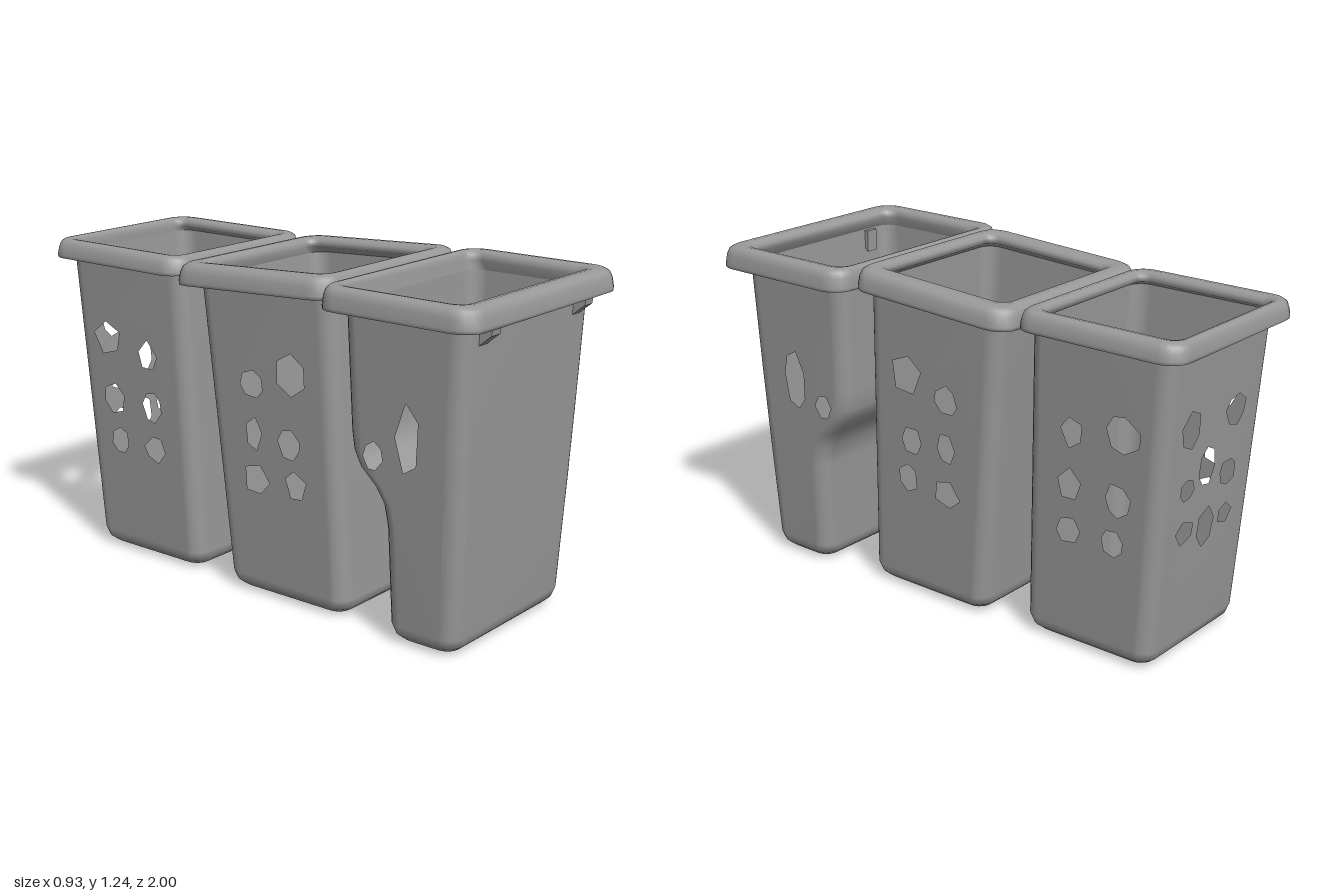
import * as THREE from 'three';
import { mergeVertices } from 'three/addons/utils/BufferGeometryUtils.js';

const N = 5;            // segments per rounded corner
const C = N + 1;        // points per corner
const RING = 4 * C;
const lerp = THREE.MathUtils.lerp;

// Rounded rectangle at height y; s = { y, x, z0 (back), z1 (front), r }
function ring(s) {
  const pts = [];
  for (let k = 0; k < 4; k++) {
    const cx = (k === 0 || k === 3 ? 1 : -1) * (s.x - s.r);
    const cz = k < 2 ? s.z1 - s.r : s.z0 + s.r;
    for (let i = 0; i <= N; i++) {
      const a = (k + i / N) * Math.PI / 2;
      pts.push([cx + s.r * Math.cos(a), s.y, cz + s.r * Math.sin(a)]);
    }
  }
  return pts;
}

function inset(s, d, y) {
  return { y, x: s.x - d, z0: s.z0 + d, z1: s.z1 - d, r: Math.max(s.r - d * 0.3, 0.02) };
}

function mix(a, b, t, y) {
  return { y, x: lerp(a.x, b.x, t), z0: lerp(a.z0, b.z0, t), z1: lerp(a.z1, b.z1, t), r: lerp(a.r, b.r, t) };
}

// Section values at any height of the wall
function sectionAt(levels, y) {
  let i = 0;
  while (i < levels.length - 2 && y > levels[i + 1].y) i++;
  const a = levels[i], b = levels[i + 1];
  return mix(a, b, (y - a.y) / (b.y - a.y), y);
}

// Skin a list of sections; skip(row, wall) leaves a flat wall open
function loft(sections, skip = () => false) {
  const pos = [], idx = [];
  sections.forEach(s => pos.push(...ring(s)));
  for (let j = 0; j < sections.length - 1; j++) {
    for (let i = 0; i < RING; i++) {
      if (i % C === N && skip(j, Math.floor(i / C))) continue;
      const n = (i + 1) % RING;
      const a = j * RING + i, b = j * RING + n, c = a + RING, d = b + RING;
      idx.push(a, c, b, b, c, d);
    }
  }
  return { pos, idx };
}

// Irregular hole outline, h = [u, y, half width, half height]
let seed = 7;
const rnd = () => (seed = (seed * 16807) % 2147483647) / 2147483647;
function holePath([u, y, w, h = w]) {
  const n = 5 + Math.floor(rnd() * 3), turn = rnd() * 6;
  const pts = [];
  for (let i = 0; i < n; i++) {
    const a = turn + (i + (rnd() - 0.5) * 0.3) / n * Math.PI * 2, k = 0.92 + rnd() * 0.2;
    pts.push(new THREE.Vector2(u + w * k * Math.cos(a), y + h * k * Math.sin(a)));
  }
  return new THREE.Path(pts);
}

// Perforated flat wall: 1 = -x side, 2 = back, 3 = +x side
function addPanel(mesh, levels, wall, holes) {
  const back = wall === 2;
  const low = s => back ? -s.x + s.r : s.z0 + s.r;
  const high = s => back ? s.x - s.r : s.z1 - s.r;
  const outline = [
    ...levels.map(s => new THREE.Vector2(high(s), s.y)),
    ...levels.slice().reverse().map(s => new THREE.Vector2(low(s), s.y)),
  ];
  const shape = new THREE.Shape(outline);
  shape.holes = holes.map(holePath);
  const g = new THREE.ShapeGeometry(shape), p = g.attributes.position, base = mesh.pos.length;
  for (let i = 0; i < p.count; i++) {
    const u = p.getX(i), y = p.getY(i), s = sectionAt(levels, y);
    mesh.pos.push(back ? [u, y, s.z0] : [wall === 3 ? s.x : -s.x, y, u]);
  }
  const id = g.index.array;
  for (let i = 0; i < id.length; i += 3) {
    const t = [id[i] + base, id[i + 1] + base, id[i + 2] + base];
    mesh.idx.push(...(wall === 1 ? t : t.reverse()));
  }
}

function toGeometry({ pos, idx }, tilt) {
  const flat = pos.flatMap(([x, y, z]) => [x, y + tilt * z * y / 1.2, z]);
  let g = new THREE.BufferGeometry();
  g.setAttribute('position', new THREE.Float32BufferAttribute(flat, 3));
  g.setIndex(idx);
  g = mergeVertices(g, 1e-4);
  g.computeVertexNormals();
  return g;
}

// Bin: levels run from above the bottom rounding to the top of the wall
function makeBin(name, o, material) {
  const bin = new THREE.Group();
  bin.name = name;
  const tilt = o.tilt || 0, first = o.levels[0];
  const foot = [inset(first, 0.075, 0.006), inset(first, 0.035, 0.014), inset(first, 0.012, 0.034)];
  const walls = o.holes;
  const body = loft([...foot, ...o.levels], (row, wall) => row >= foot.length && walls[wall]);
  for (const w of [1, 2, 3]) if (walls[w]) addPanel(body, o.levels, w, walls[w]);
  // floor
  const centre = body.pos.push([0, 0.004, (first.z0 + first.z1) / 2]) - 1;
  for (let i = 0; i < RING; i++) body.idx.push(centre, i, (i + 1) % RING);
  const bodyMesh = new THREE.Mesh(toGeometry(body, tilt), material);
  bodyMesh.name = 'body';

  // rolled rim from the wall, over the top, down to the skirt
  const { opening, outer, top, bottom } = o.rim;
  const profile = [[0, top - 0.035], [0.03, top - 0.016], [0.16, top - 0.004], [0.4, top], [0.68, top - 0.003],
    [0.85, top - 0.013], [0.94, top - 0.033], [1, bottom + 0.012], [0.99, bottom], [0.93, bottom]];
  const rim = loft([o.levels.at(-1), ...profile.map(([t, y]) => mix(opening, outer, t, y))]);
  const rimMesh = new THREE.Mesh(toGeometry(rim, tilt), material);
  rimMesh.name = 'rim';
  bin.add(bodyMesh, rimMesh);
  return bin;
}

export function createModel() {
  const model = new THREE.Group();
  model.name = 'threeBins';
  const grey = new THREE.MeshStandardMaterial({ color: 0x999999, side: THREE.DoubleSide });
  grey.name = 'grey plastic';
  const sec = (y, x, z0, z1, r = 0.06) => ({ y, x, z0, z1, r });

  // front bin, wide with a stepped back
  const slots = [[0.7, 0.75, 0.05, 0.12], [0.555, 0.67, 0.04, 0.05]];
  const front = makeBin('frontBin', {
    levels: [sec(0.07, 0.346, 0.595, 0.88), sec(0.42, 0.362, 0.587, 0.896), sec(0.5, 0.365, 0.572, 0.9),
      sec(0.56, 0.368, 0.535, 0.902), sec(0.62, 0.37, 0.472, 0.905), sec(0.67, 0.372, 0.449, 0.907),
      sec(0.74, 0.375, 0.441, 0.91), sec(1.17, 0.39, 0.428, 0.927)],
    holes: { 1: slots, 3: slots },
    rim: { opening: sec(0, 0.38, 0.422, 0.905, 0.05), outer: sec(0, 0.465, 0.37, 0.998, 0.08), top: 1.24, bottom: 1.16 },
  }, grey);

  // brackets under the front rim
  const bracket = new THREE.Shape([[-0.91, 1.165], [-0.975, 1.165], [-0.97, 1.13], [-0.945, 1.11], [-0.91, 1.08]]
    .map(p => new THREE.Vector2(...p)));
  const bracketGeo = new THREE.ExtrudeGeometry(bracket, { depth: 0.05, bevelEnabled: false });
  bracketGeo.translate(0, 0, -0.025).rotateY(Math.PI / 2);
  for (const side of [-1, 1]) {
    const m = new THREE.Mesh(bracketGeo, grey);
    m.name = side < 0 ? 'rightBracket' : 'leftBracket';
    m.position.x = side * 0.285;
    front.add(m);
  }

  // middle bin, leaning slightly
  const midHoles = [[0.165, 0.865, 0.068, 0.075], [-0.015, 0.815, 0.052], [0.155, 0.615, 0.048, 0.055],
    [-0.01, 0.63, 0.04, 0.06], [0.18, 0.465, 0.045, 0.05], [-0.005, 0.455, 0.058]];
  const middle = makeBin('middleBin', {
    levels: [sec(0.07, 0.31, -0.163, 0.385), sec(1.17, 0.345, -0.263, 0.343)],
    holes: { 1: midHoles, 3: midHoles },
    rim: { opening: sec(0, 0.3, -0.255, 0.3, 0.04), outer: sec(0, 0.405, -0.335, 0.372, 0.08), top: 1.232, bottom: 1.155 },
    tilt: 0.05,
  }, grey);

  // back bin, perforated on three walls
  const sideHoles = [[-0.55, 0.82, 0.048, 0.055], [-0.76, 0.86, 0.068], [-0.54, 0.625, 0.045, 0.06],
    [-0.74, 0.62, 0.052, 0.058], [-0.535, 0.455, 0.05], [-0.72, 0.455, 0.045, 0.05]];
  const backHoles = [[0.155, 0.87, 0.06, 0.065], [-0.12, 0.87, 0.06], [0.03, 0.705, 0.045, 0.075], [0.14, 0.65, 0.04],
    [-0.11, 0.64, 0.05], [0.13, 0.49, 0.055, 0.045], [0, 0.465, 0.05, 0.07], [-0.12, 0.48, 0.045, 0.04]];
  const back = makeBin('backBin', {
    levels: [sec(0.07, 0.285, -0.868, -0.332), sec(1.17, 0.32, -0.945, -0.37)],
    holes: { 1: sideHoles, 2: backHoles, 3: sideHoles },
    rim: { opening: sec(0, 0.29, -0.945, -0.405, 0.04), outer: sec(0, 0.372, -1, -0.338, 0.08), top: 1.222, bottom: 1.155 },
  }, grey);

  model.add(front, middle, back);
  return model;
}
